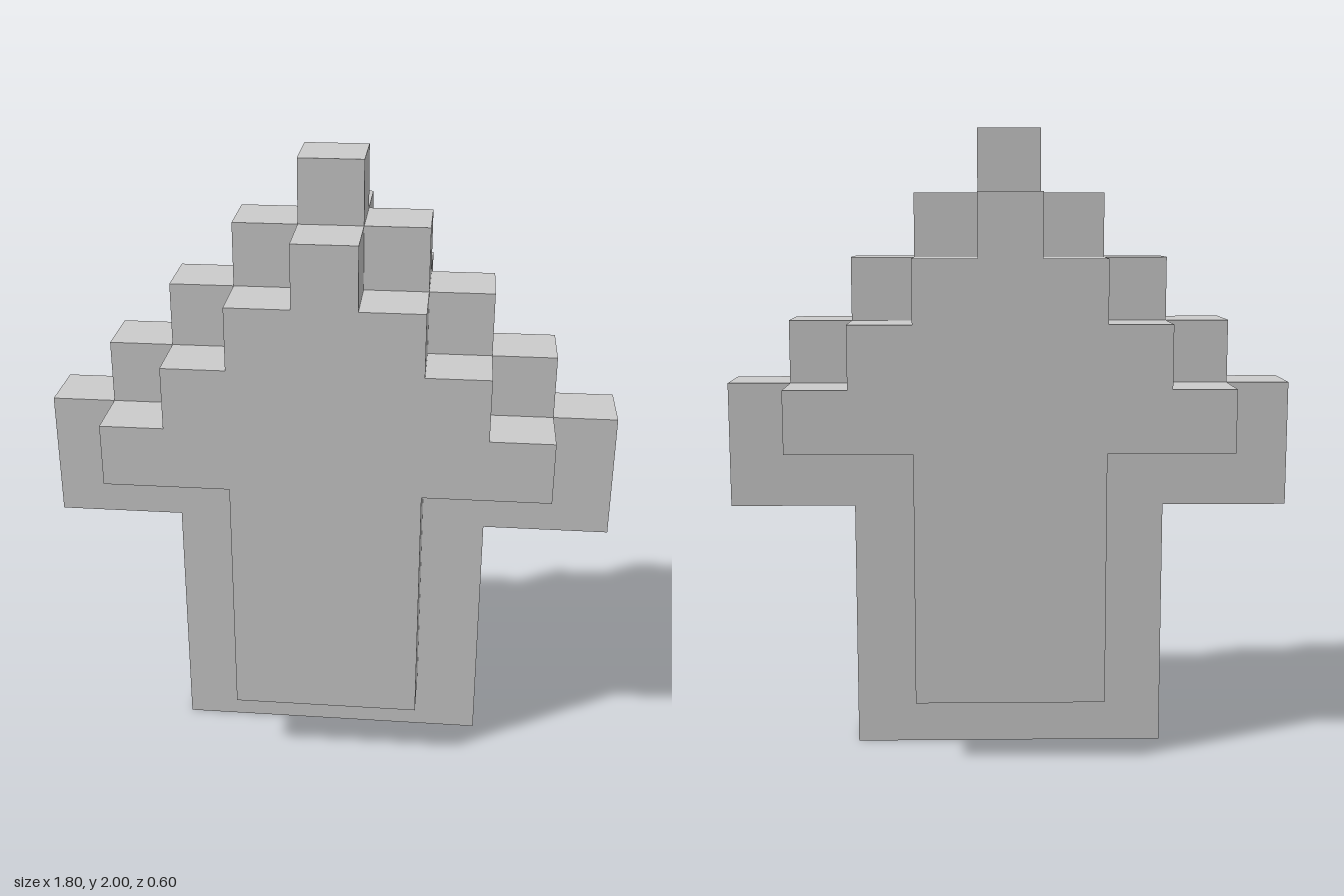
import * as THREE from 'three';

const material = new THREE.MeshStandardMaterial({ color: 0xcccccc, flatShading: true });

// Stepped arrow slab, mirrored about x = 0.
// steps: [half width, top y] from the bottom upwards.
function steppedSlab(name, baseY, steps, zMin, zMax) {
  const right = [];
  let y = baseY;
  for (const [halfWidth, top] of steps) {
    right.push(new THREE.Vector2(halfWidth, y), new THREE.Vector2(halfWidth, top));
    y = top;
  }
  const left = right.map((p) => new THREE.Vector2(-p.x, p.y)).reverse();
  const geometry = new THREE.ExtrudeGeometry(new THREE.Shape([...right, ...left]), {
    depth: zMax - zMin,
    bevelEnabled: false,
  });
  geometry.translate(0, 0, zMin);
  const mesh = new THREE.Mesh(geometry, material);
  mesh.name = name;
  return mesh;
}

export function createModel() {
  const model = new THREE.Group();
  model.name = 'blockArrow';

  // Wide middle layer
  const coreSteps = [[0.5, 0.8], [0.9, 1.2], [0.7, 1.4], [0.5, 1.6], [0.3, 1.8], [0.1, 2]];
  model.add(steppedSlab('arrowCore', 0, coreSteps, -0.1, 0.1));

  // Smaller raised layers on the front and back
  const plateSteps = [[0.3, 1], [0.7, 1.2], [0.5, 1.4], [0.3, 1.6], [0.1, 1.8]];
  model.add(steppedSlab('frontPlate', 0.2, plateSteps, 0.1, 0.3));
  model.add(steppedSlab('backPlate', 0.2, plateSteps, -0.3, -0.1));

  return model;
}
